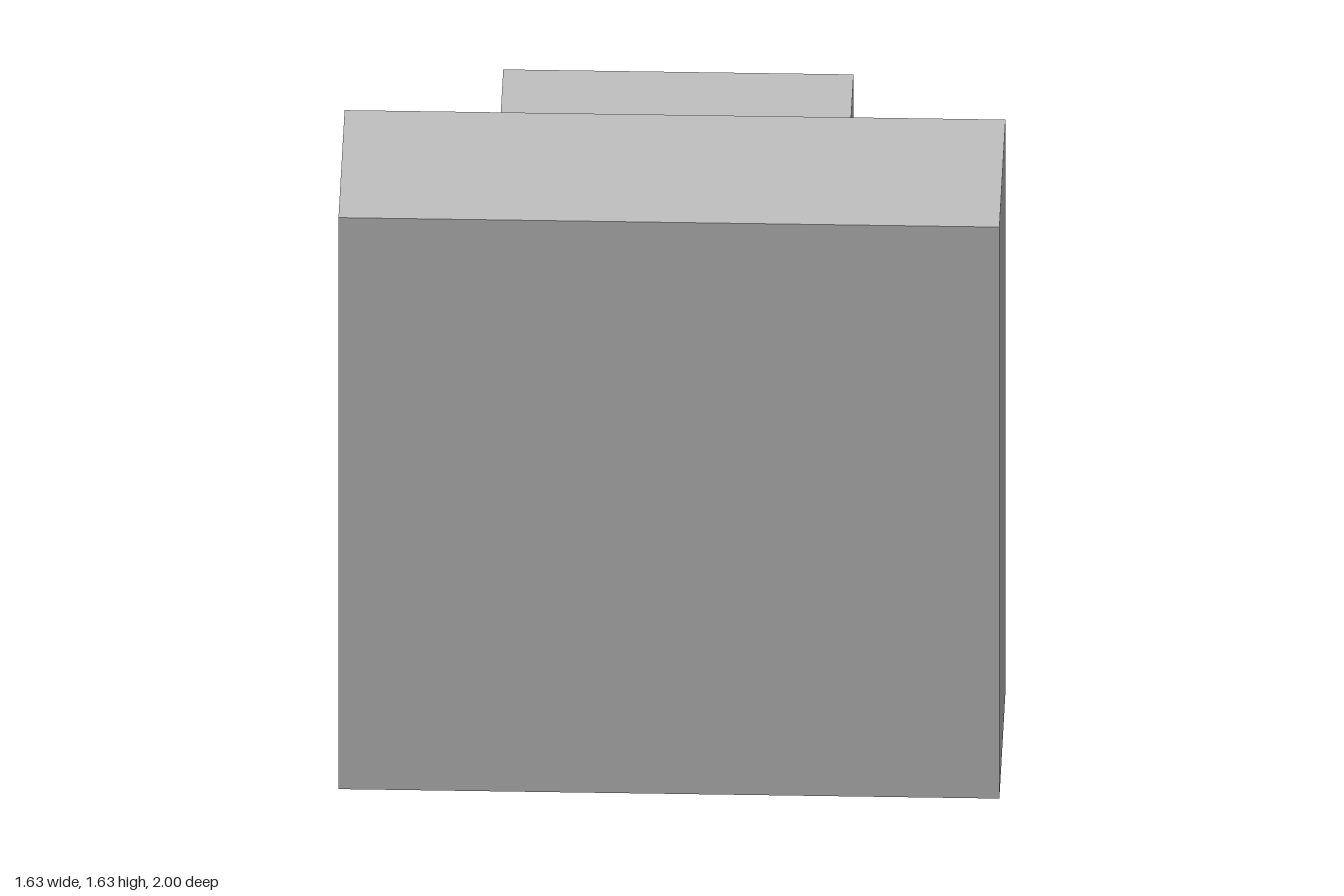
import * as THREE from 'three';

export function createModel() {
  const model = new THREE.Group();
  const grey = new THREE.MeshStandardMaterial({ color: 0xc0c0c0 });
  grey.name = 'light grey';

  function add(name, geometry, x, y, z) {
    const mesh = new THREE.Mesh(geometry, grey);
    mesh.name = name;
    mesh.position.set(x, y, z);
    model.add(mesh);
  }

  // Box given by its lowest and highest corners
  function addBox(name, [x0, y0, z0], [x1, y1, z1]) {
    add(name, new THREE.BoxGeometry(x1 - x0, y1 - y0, z1 - z0),
      (x0 + x1) / 2, (y0 + y1) / 2, (z0 + z1) / 2);
  }

  const slabBack = 0.473;

  // Large front slab and the block mounted on its back
  addBox('slab', [-0.815, 0, slabBack], [0.815, 1.63, 1]);
  addBox('backBlock', [-0.432, 1.01, 0.185], [0.432, 1.585, slabBack]);

  // Two arms reaching back to a cross bar
  for (const [side, name] of [[1, 'leftArm'], [-1, 'rightArm']]) {
    const x = side * 0.55;
    addBox(name, [x - 0.056, 0.76, -0.645], [x + 0.056, 0.875, slabBack]);
  }
  addBox('crossBar', [-0.622, 0.748, -0.765], [0.622, 0.892, -0.645]);

  // Twelve-sided disc held by the cross bar
  const disc = new THREE.CylinderGeometry(0.248, 0.248, 0.117, 12).toNonIndexed();
  disc.computeVertexNormals();
  add('disc', disc, 0, 0.818, -0.752);

  return model;
}
